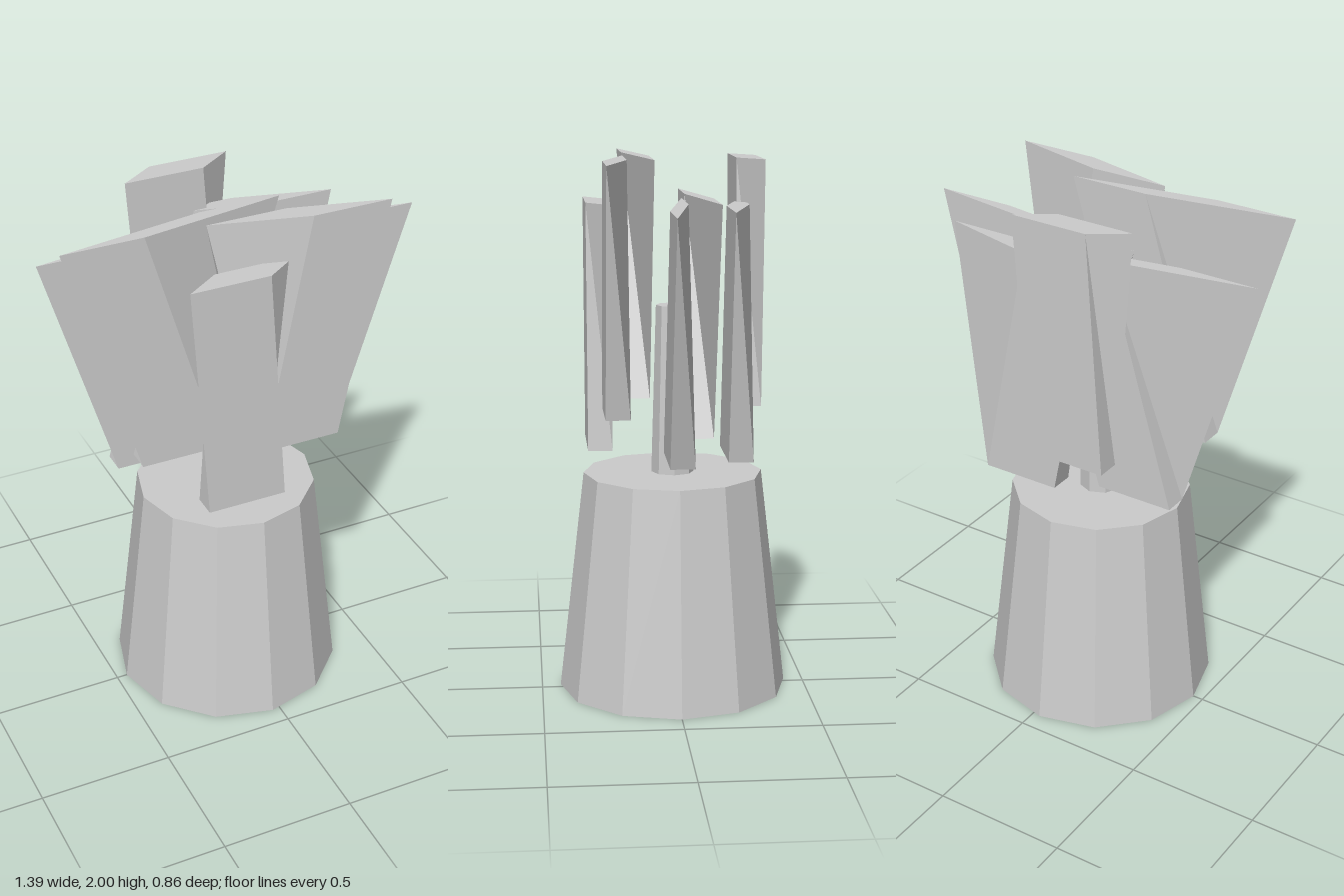
import * as THREE from 'three';

export function createModel() {
  const model = new THREE.Group();
  const grey = new THREE.MeshStandardMaterial({ color: 0xcccccc, flatShading: true });
  const axisX = -0.03;

  function add(name, geometry, x, y, z) {
    const mesh = new THREE.Mesh(geometry, grey);
    mesh.name = name;
    mesh.position.set(x, y, z);
    model.add(mesh);
  }

  // Tapered twelve-sided pot and the thin stem standing in it
  add('pot', new THREE.CylinderGeometry(0.335, 0.43, 0.83, 12), axisX, 0.415, 0);
  add('stem', new THREE.CylinderGeometry(0.062, 0.08, 0.63, 8), axisX, 1.145, 0);

  // Slab whose top edge is skewed: front goes by +skew in x, back by -skew
  const width = 0.3, height = 0.91, depth = 0.09;
  function leafGeometry(skew) {
    const box = new THREE.BoxGeometry(width, depth, height).rotateX(Math.PI / 2);
    const p = box.attributes.position;
    for (let i = 0; i < p.count; i++) {
      if (p.getY(i) > 0) p.setX(i, p.getX(i) + Math.sign(p.getZ(i)) * skew);
    }
    const geometry = box.toNonIndexed();
    geometry.computeVertexNormals();
    return geometry;
  }

  // Leaves from front to back: centre x, base y, centre z, skew
  const leaves = [
    [-0.09, 0.93, 0.275, -0.065],
    [0.15, 1.09, 0.221, 0.18],
    [-0.28, 1.09, 0.123, -0.27],
    [0.25, 0.93, -0.002, 0.295],
    [-0.28, 0.93, -0.122, -0.27],
    [0.15, 0.93, -0.221, 0.18],
    [-0.09, 1.09, -0.277, -0.065],
  ];
  leaves.forEach(([x, base, z, skew], i) =>
    add(`leaf${i + 1}`, leafGeometry(skew), x, base + height / 2, z));

  return model;
}
